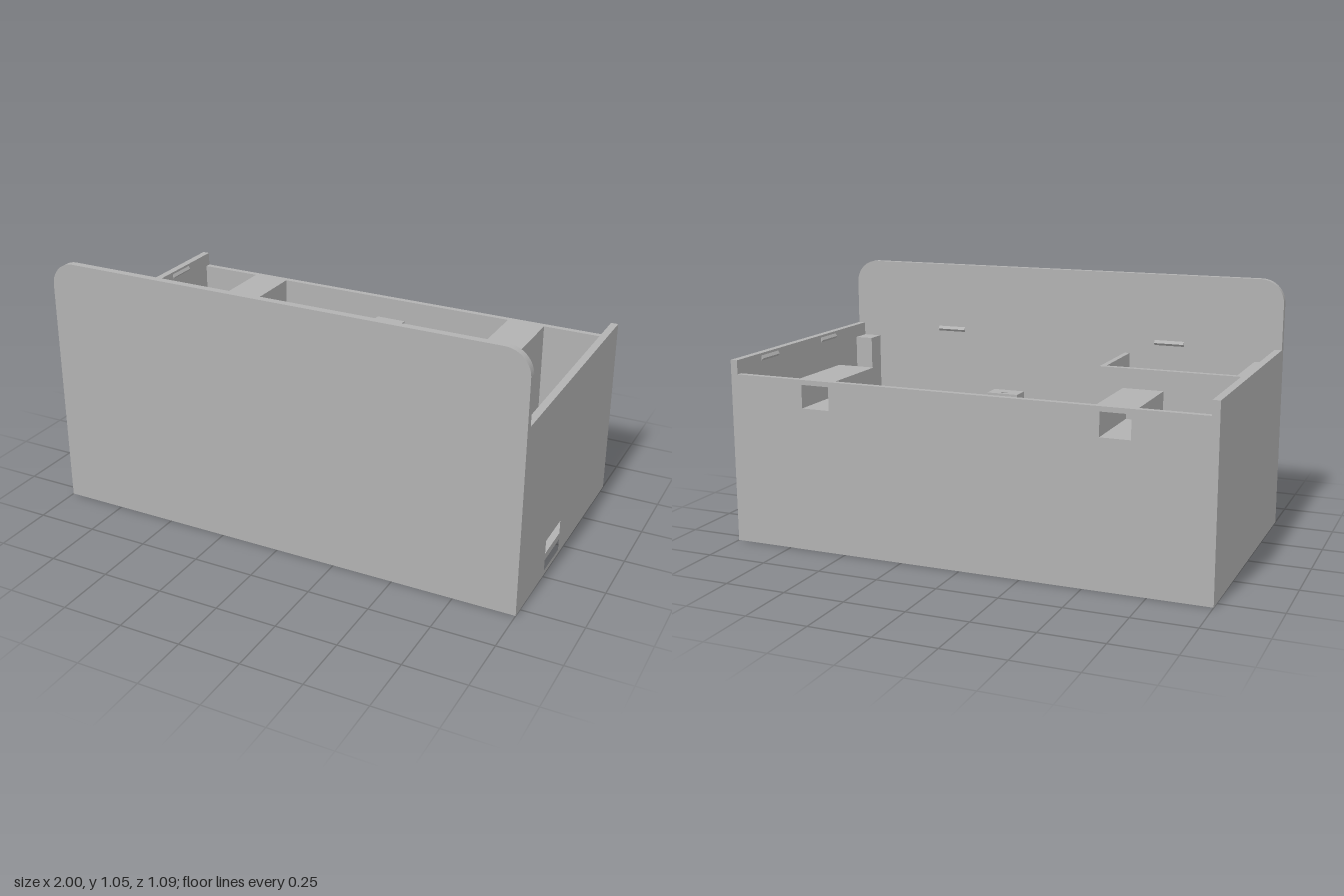
import * as THREE from 'three';

export function createModel() {
  const model = new THREE.Group();
  model.name = 'openEnclosure';
  const grey = new THREE.MeshStandardMaterial({ color: 0xb2b2b2 });
  grey.name = 'grey plastic';

  const add = (name, geometry) => {
    const mesh = new THREE.Mesh(geometry, grey);
    mesh.name = name;
    model.add(mesh);
    return mesh;
  };
  // box given by its limits
  const box = (name, x0, x1, y0, y1, z0, z1) =>
    add(name, new THREE.BoxGeometry(x1 - x0, y1 - y0, z1 - z0)
      .translate((x0 + x1) / 2, (y0 + y1) / 2, (z0 + z1) / 2));
  const poly = (points) => points.map(([x, y]) => new THREE.Vector2(x, y));
  const rect = (x0, x1, y0, y1) => poly([[x0, y0], [x1, y0], [x1, y1], [x0, y1]]);
  const extrude = (outline, holes, depth) => {
    const shape = new THREE.Shape(outline);
    holes.forEach((h) => shape.holes.push(new THREE.Path(h)));
    return new THREE.ExtrudeGeometry(shape, { depth, bevelEnabled: false, curveSegments: 12 });
  };
  // plate in the x-y plane, running from z0 to z1
  const plateZ = (name, outline, holes, z0, z1) =>
    add(name, extrude(outline, holes, z1 - z0).translate(0, 0, z0));
  // profile given as [z, y], running from x0 to x1
  const flip = (pts) => pts.map((p) => new THREE.Vector2(-p.x, p.y));
  const plateX = (name, outline, holes, x0, x1) =>
    add(name, extrude(flip(outline), holes.map(flip), x1 - x0).rotateY(Math.PI / 2).translate(x0, 0, 0));

  const H = 0.757, INNER = 0.7, FLOOR = 0.03, T = 0.03;
  const BACK = -0.545, FRONT = 0.515;

  // tall front panel with rounded upper corners
  const panel = new THREE.Shape();
  panel.moveTo(-1, 0);
  panel.lineTo(1, 0);
  panel.lineTo(1, 0.95);
  panel.absarc(0.9, 0.95, 0.1, 0, Math.PI / 2, false);
  panel.lineTo(-0.9, 1.05);
  panel.absarc(-0.9, 0.95, 0.1, Math.PI / 2, Math.PI, false);
  panel.closePath();
  plateZ('frontPanel', panel.getPoints(12).slice(0, -1), [], FRONT, 0.545);

  // floor and side walls, with a port opening on the left side
  box('floor', -1 + T, 1 - T, 0, FLOOR, BACK, FRONT);
  const side = rect(BACK, FRONT, 0, H);
  plateX('rightWall', side, [], -1, -1 + T);
  plateX('leftWall', side, [rect(0.065, 0.235, 0.018, 0.15)], 1 - T, 1);

  // back wall with two hanging openings, each leading into a hollow block
  const openings = [-0.62, 0.615].map((x) => rect(x - 0.06, x + 0.06, 0.585, 0.68));
  plateZ('backWall', rect(-1 + T, 1 - T, FLOOR, INNER), openings, BACK, -0.52);
  [-0.62, 0.615].forEach((x, i) => {
    const outline = rect(x - 0.08, x + 0.08, FLOOR, INNER);
    plateZ('hangingBlock', outline, [openings[i]], -0.52, -0.23);
    plateZ('hangingBlockEnd', outline, [], -0.23, -0.21);
  });

  // three-sided compartment behind the front panel
  box('compartmentBack', -0.91, -0.315, FLOOR, INNER, 0.175, 0.2);
  box('compartmentSide', -0.91, -0.887, FLOOR, INNER, 0.2, FRONT);
  box('compartmentSide', -0.338, -0.315, FLOOR, INNER, 0.2, FRONT);

  // corner post
  box('cornerPost', 0.89, 0.97, FLOOR, INNER, 0.43, FRONT);

  // two screw posts with an undercut lip, joined by a low strip
  box('bracketStrip', -0.065, 0.065, FLOOR, 0.05, -0.42, -0.115);
  for (const [z0, z1, hole] of [[-0.5, -0.42, -0.45], [-0.115, -0.04, -0.09]]) {
    const circle = new THREE.Path().absarc(0, -hole, 0.013, 0, Math.PI * 2).getPoints(12);
    add('screwLip', extrude(rect(-0.065, 0.065, -z1, -z0), [circle.slice(0, -1)], 0.04)
      .rotateX(-Math.PI / 2).translate(0, 0.575, 0));
    plateX('screwPost', poly([[z0, 0.575], [z1 - 0.025, 0.52], [z1 - 0.025, FLOOR],
      [z1, FLOOR], [z1, 0.575]]), [], -0.065, 0.065);
  }

  // circuit board holder: rails, hooked stop, clips and pegs
  for (const z of [0.055, 0.21]) box('boardRail', 0.25, 0.81, FLOOR, 0.057, z, z + 0.025);
  plateZ('boardStop', poly([[0.19, FLOOR], [0.225, FLOOR], [0.225, 0.12], [0.255, 0.15],
    [0.225, 0.17], [0.19, 0.17]]), [], 0.1, 0.2);
  for (const x of [0.3, 0.81]) {
    plateX('boardClip', poly([[-0.07, FLOOR], [-0.045, FLOOR], [-0.045, 0.1], [-0.03, 0.115],
      [-0.045, 0.145], [-0.07, 0.145]]), [], x, x + 0.052);
    box('boardPeg', x, x + 0.052, FLOOR, 0.1, 0.34, 0.365);
  }

  // lid catches: small ridges on the walls and the panel
  for (const z of [-0.37, 0.11]) {
    for (const s of [-1, 1]) {
      const r = s * 0.97, tip = s * 0.962;
      plateZ('sideCatch', poly([[r, 0.725], [tip, 0.735], [r, 0.747]]), [], z, z + 0.128);
    }
  }
  for (const x of [-0.515, 0.515]) {
    plateX('frontCatch', poly([[FRONT, 0.743], [FRONT - 0.01, 0.753], [FRONT, 0.765]]), [], x - 0.065, x + 0.065);
  }
  return model;
}
